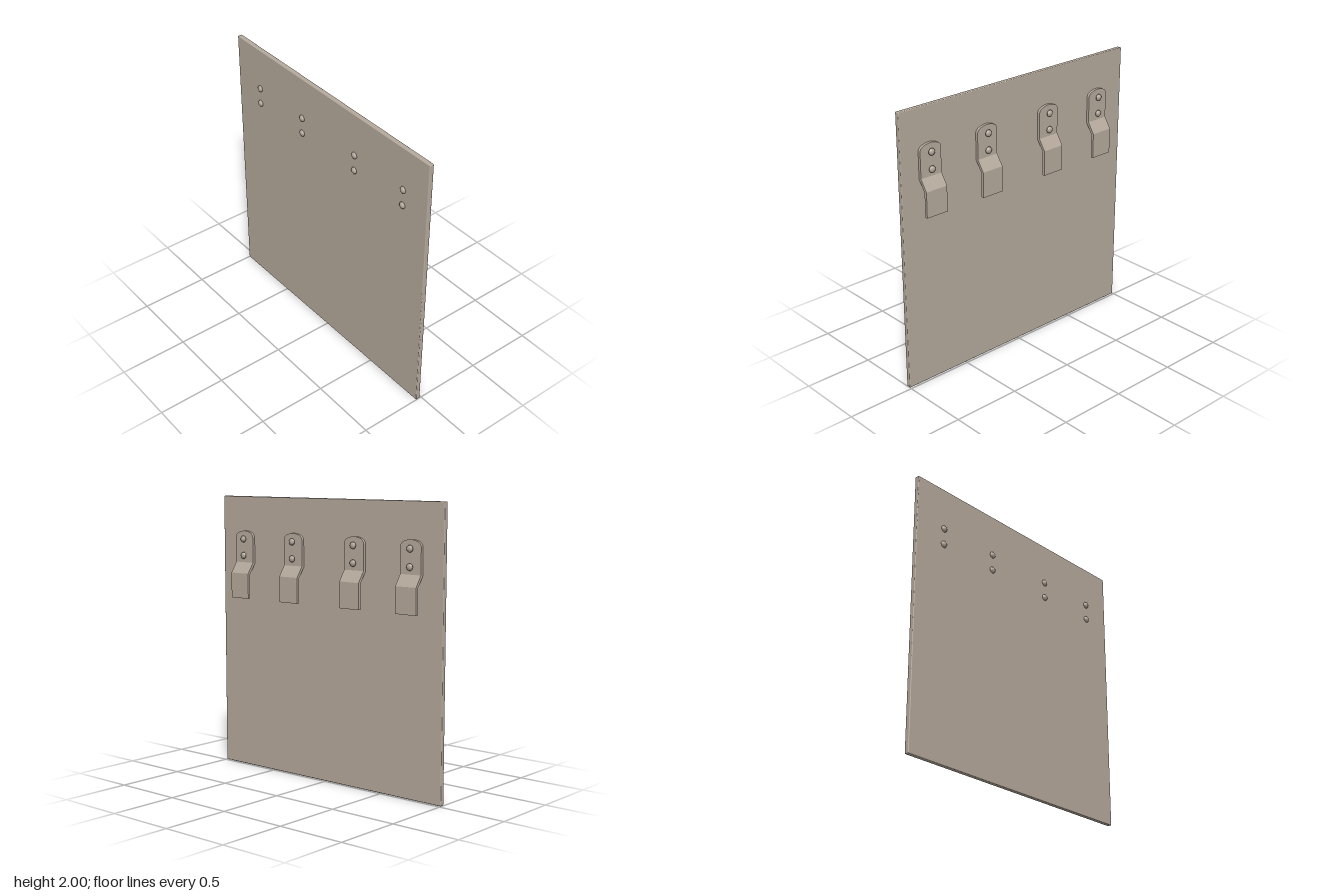
import * as THREE from 'three';
import { RoundedBoxGeometry } from 'three/addons/geometries/RoundedBoxGeometry.js';

const TAB_WIDTH = 0.17;
const TAB_Z = [0.772, 0.292, -0.267, -0.748];
const RIVET_Y = [1.69, 1.57];

// Flat upper half of a tab, with rounded shoulders and a gently arched top
function tabPlateGeometry() {
  const h = TAB_WIDTH / 2;
  const s = new THREE.Shape();
  s.moveTo(-h, 1.52);
  s.lineTo(h, 1.52);
  s.lineTo(h, 1.7);
  s.quadraticCurveTo(h, 1.727, h - 0.027, 1.738);
  s.quadraticCurveTo(0, 1.762, -h + 0.027, 1.738);
  s.quadraticCurveTo(-h, 1.727, -h, 1.7);
  s.closePath();
  const g = new THREE.ExtrudeGeometry(s, { depth: 0.02, bevelEnabled: false, curveSegments: 10 });
  return g.rotateY(Math.PI / 2).translate(-0.012, 0, 0);
}

// Cranked lower half: slopes away from the panel, then hangs straight
function tabHookGeometry() {
  const s = new THREE.Shape([
    [-0.012, 1.52], [-0.012, 1.513], [0.04, 1.437], [0.04, 1.26],
    [0.06, 1.26], [0.06, 1.443], [0.008, 1.52],
  ].map(([x, y]) => new THREE.Vector2(x, y)));
  const g = new THREE.ExtrudeGeometry(s, { depth: TAB_WIDTH, bevelEnabled: false });
  return g.translate(0, 0, -TAB_WIDTH / 2);
}

// Rivet through panel and tab, a domed head at each end
function rivetGeometry() {
  const profile = [
    [0, -0.063], [0.012, -0.061], [0.021, -0.055], [0.025, -0.046], [0.014, -0.045],
    [0.014, 0.016], [0.025, 0.017], [0.022, 0.026], [0.013, 0.032], [0, 0.034],
  ].map(([r, y]) => new THREE.Vector2(r, y));
  return new THREE.LatheGeometry(profile, 20).rotateZ(-Math.PI / 2);
}

export function createModel() {
  const model = new THREE.Group();
  model.name = 'panelWithTabs';
  const metal = new THREE.MeshStandardMaterial({ color: 0xb5a99c });
  metal.name = 'warm grey metal';

  const add = (parent, name, geometry, y = 0) => {
    const mesh = new THREE.Mesh(geometry, metal);
    mesh.name = name;
    mesh.position.y = y;
    parent.add(mesh);
    return mesh;
  };

  // Square sheet standing on edge
  add(model, 'panel', new RoundedBoxGeometry(0.034, 2, 2, 3, 0.006), 1).position.x = -0.029;

  // Four riveted tabs
  const plate = tabPlateGeometry();
  const hook = tabHookGeometry();
  const rivet = rivetGeometry();
  for (const z of TAB_Z) {
    const tab = new THREE.Group();
    tab.name = 'tab';
    tab.position.z = z;
    add(tab, 'tabPlate', plate);
    add(tab, 'tabHook', hook);
    for (const y of RIVET_Y) add(tab, 'rivet', rivet, y);
    model.add(tab);
  }
  return model;
}
